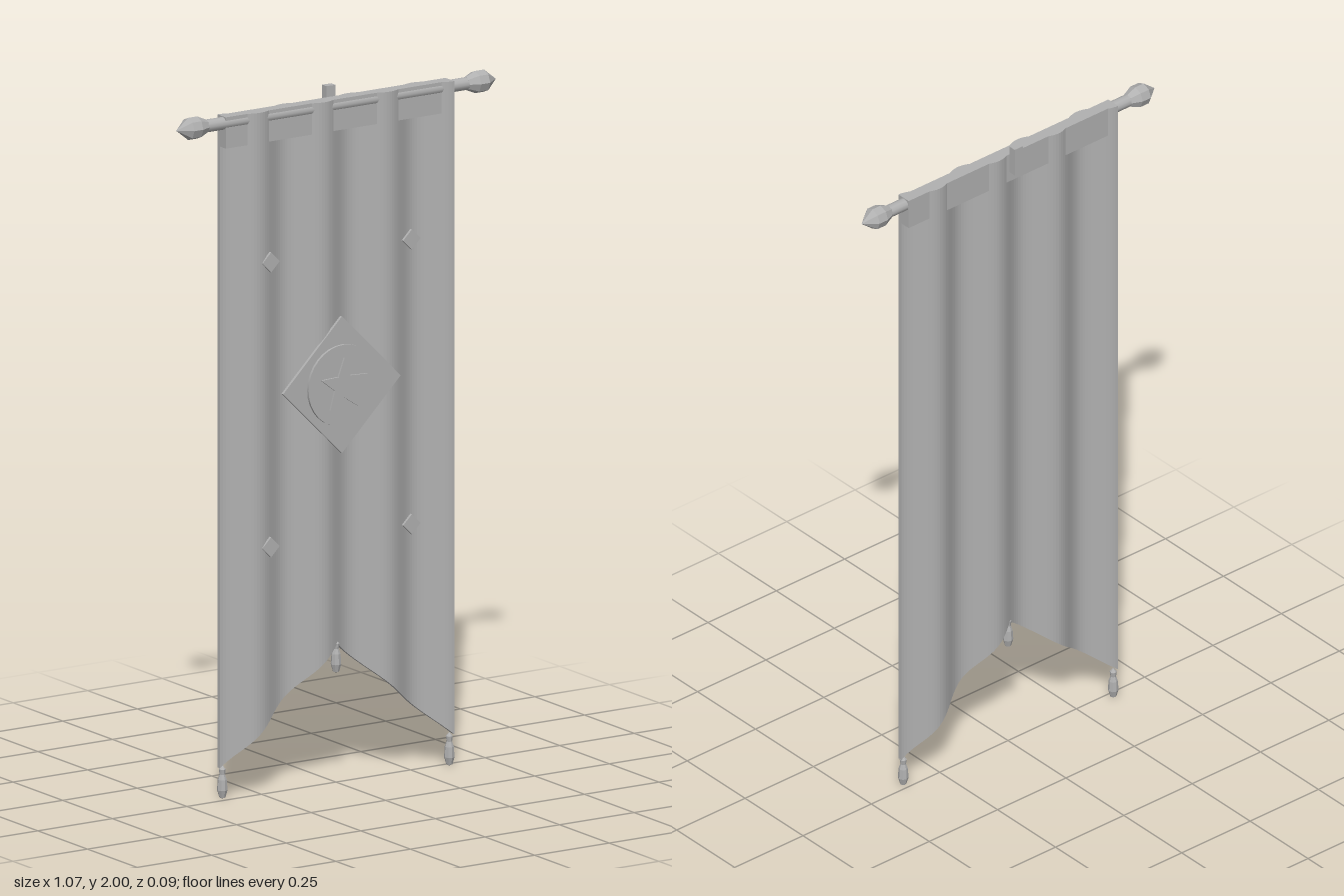
import * as THREE from 'three';

const W = 0.38, TOP = 1.97, PERIOD = (2 * W) / 3.5;
const foldZ = (x) => -0.001 - 0.019 * Math.cos((2 * Math.PI * (x + W)) / PERIOD);

export function createModel() {
  const group = new THREE.Group();
  const grey = new THREE.MeshStandardMaterial({ color: 0xb0b0b0 });
  grey.name = 'plain grey';

  const add = (name, geometry, x = 0, y = 0, z = 0) => {
    const mesh = new THREE.Mesh(geometry, grey);
    mesh.name = name;
    mesh.position.set(x, y, z);
    group.add(mesh);
    return mesh;
  };

  // Pleated cloth: closed strip of cross-sections with a swallowtail hem
  const half = 0.007, steps = 84, pos = [], index = [];
  const quad = (a, b, c, d) => {
    const n = pos.length / 3;
    pos.push(...a, ...b, ...c, ...d);
    index.push(n, n + 1, n + 2, n, n + 2, n + 3);
  };
  const section = (i) => {
    const x = -W + (2 * W * i) / steps;
    const y = 0.4 - 0.31 * Math.abs(x) / W, z = foldZ(x);
    return {
      fb: [x, y, z + half], ft: [x, TOP, z + half],
      bb: [x, y, z - half], bt: [x, TOP, z - half],
    };
  };
  for (let i = 0; i < steps; i++) {
    const l = section(i), r = section(i + 1);
    quad(l.fb, r.fb, r.ft, l.ft);
    quad(r.bb, l.bb, l.bt, r.bt);
    quad(l.ft, r.ft, r.bt, l.bt);
    quad(l.bb, r.bb, r.fb, l.fb);
    if (i === 0) quad(l.bb, l.fb, l.ft, l.bt);
    if (i === steps - 1) quad(r.fb, r.bb, r.bt, r.ft);
  }
  const cloth = new THREE.BufferGeometry();
  cloth.setAttribute('position', new THREE.Float32BufferAttribute(pos, 3));
  cloth.setIndex(index);
  cloth.computeVertexNormals();
  add('cloth', cloth);

  // Sleeve across the top of the cloth
  add('headerSleeve', new THREE.BoxGeometry(2 * W, 0.09, 0.035), 0, 1.925, -0.002);

  // Rod with a pointed finial at each end
  const rod = new THREE.CylinderGeometry(0.0185, 0.0185, 0.9, 12).rotateZ(Math.PI / 2);
  add('rod', rod, 0, 1.95, 0);
  const lathe = (points, sides) => {
    const g = new THREE.LatheGeometry(points.map(([r, y]) => new THREE.Vector2(r, y)), sides).toNonIndexed();
    g.computeVertexNormals();
    return g;
  };
  const finial = lathe([[0, 0], [0.019, 0], [0.032, 0.03], [0.032, 0.06], [0, 0.1]], 8);
  for (const s of [-1, 1]) {
    add(s > 0 ? 'leftFinial' : 'rightFinial', finial, s * 0.436, 1.95, 0).rotation.z = -s * Math.PI / 2;
  }

  // Hanging bracket behind the rod
  add('bracket', new THREE.BoxGeometry(0.03, 0.085, 0.022), 0, 1.9575, -0.036);

  // Tassels at the three hem points
  const tassel = lathe(
    [[0, 0], [0.009, 0.004], [0.015, 0.025], [0.013, 0.055], [0.008, 0.07], [0.01, 0.085], [0, 0.097]], 8);
  add('rightTassel', tassel, -0.368, 0, -0.02);
  add('leftTassel', tassel, 0.368, 0, 0.018);
  add('centreTassel', tassel, 0, 0.315, 0);

  // Raised emblem: diamond, disc and star
  const plate = (points, depth) => new THREE.ExtrudeGeometry(
    new THREE.Shape(points.map(([x, y]) => new THREE.Vector2(x, y))), { depth, bevelEnabled: false });
  const diamond = (r, depth) => plate([[r, 0], [0, r], [-r, 0], [0, -r]], depth);
  add('emblemDiamond', diamond(0.197, 0.009), 0, 1.15, 0.021);
  add('emblemDisc', new THREE.CylinderGeometry(0.117, 0.117, 0.009, 32).rotateX(Math.PI / 2), 0, 1.15, 0.0335);
  const star = [];
  for (let i = 0; i < 10; i++) {
    const r = i % 2 ? 0.034 : 0.081, a = Math.PI / 2 + (i * Math.PI) / 5;
    star.push([r * Math.cos(a), r * Math.sin(a)]);
  }
  add('emblemStar', plate(star, 0.007), 0, 1.15, 0.037);

  // Small corner diamonds
  for (const x of [-0.236, 0.236]) {
    for (const y of [0.715, 1.535]) add('smallDiamond', diamond(0.029, 0.008), x, y, 0.02);
  }
  return group;
}
